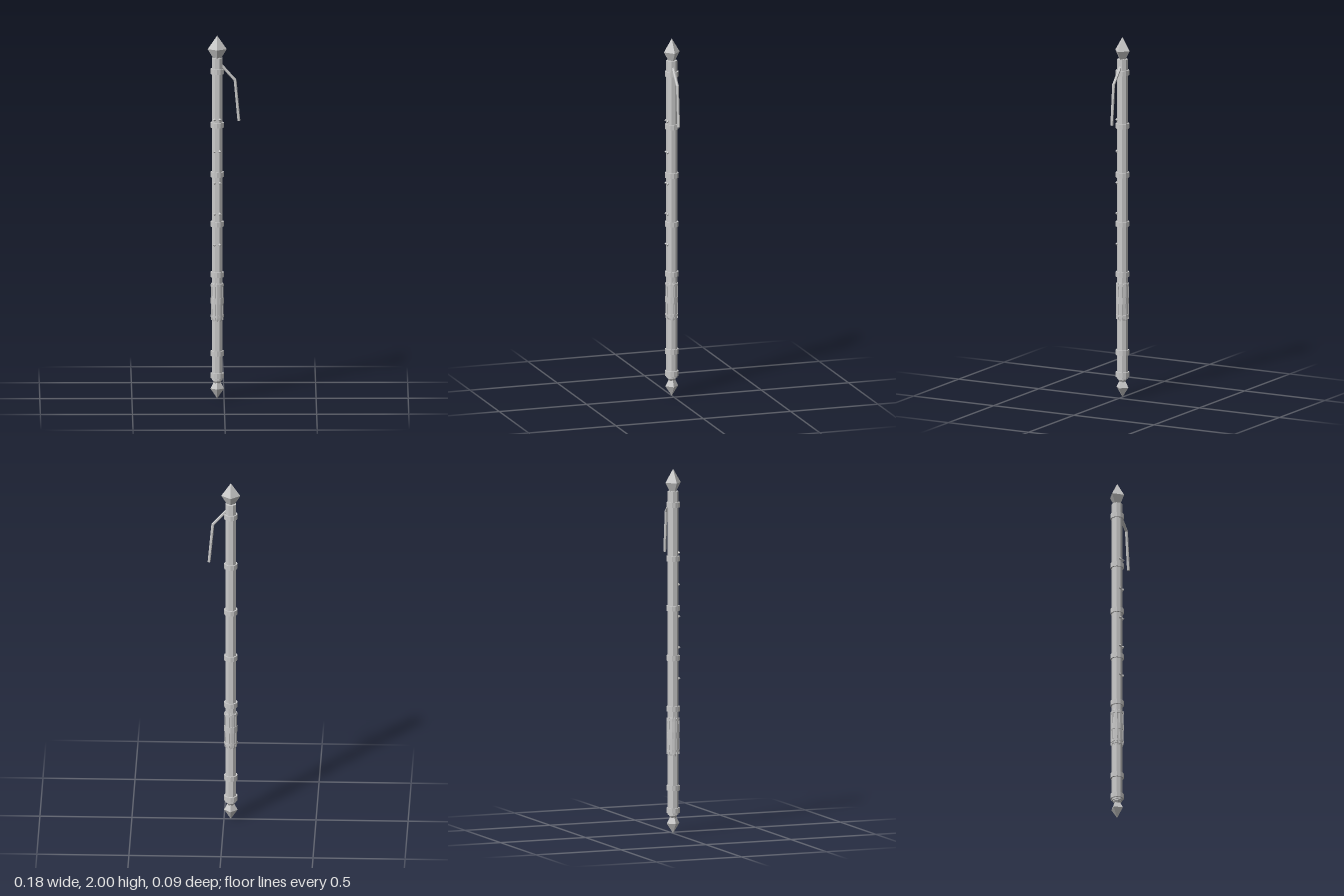
import * as THREE from 'three';

const AXIS_X = -0.037;

export function createModel() {
  const model = new THREE.Group();
  const staff = new THREE.Group();
  staff.name = 'staff';
  staff.position.x = AXIS_X;
  model.add(staff);

  const grey = new THREE.MeshStandardMaterial({ color: 0xcccccc, flatShading: true });

  const add = (name, geometry, x = 0, y = 0, z = 0) => {
    const mesh = new THREE.Mesh(geometry, grey);
    mesh.name = name;
    mesh.position.set(x, y, z);
    staff.add(mesh);
    return mesh;
  };

  // Faceted turned part from [radius, height] pairs
  const turned = (name, points, sides) =>
    add(name, new THREE.LatheGeometry(points.map(([r, y]) => new THREE.Vector2(r, y)), sides));

  // Octagonal shaft with a flat facing forward
  const shaft = new THREE.CylinderGeometry(0.03, 0.03, 1.775, 8);
  shaft.rotateY(Math.PI / 8);
  add('shaft', shaft, 0, 0.99, 0);

  // Raised bands along the shaft
  for (const y of [0.127, 0.25, 0.684, 0.963, 1.236, 1.508, 1.803]) {
    turned('band', [[0.026, y - 0.014], [0.037, y - 0.014], [0.037, y + 0.014], [0.026, y + 0.014]], 12);
  }

  // Four-sided pointed head, slightly narrower front to back
  const head = turned('headFinial', [[0, 1.87], [0.018, 1.87], [0.052, 1.925], [0, 2]], 4);
  head.scale.z = 0.045 / 0.052;
  turned('headNeck', [[0.02, 1.86], [0.016, 1.885]], 8);
  const gem = add('headGem', new THREE.OctahedronGeometry(0.01), 0, 1.935, 0.028);
  gem.scale.set(1.2, 2, 0.7);

  // Pointed foot and its neck
  turned('footFinial', [[0, 0], [0.037, 0.055], [0.016, 0.095], [0, 0.095]], 4);
  turned('footNeck', [[0.016, 0.085], [0.024, 0.098], [0.024, 0.118]], 8);

  // Swelling handle with slats and thin binding rings
  turned('grip', [[0.028, 0.425], [0.031, 0.44], [0.033, 0.53], [0.031, 0.625], [0.028, 0.645]], 12);
  for (let i = 0; i < 8; i++) {
    const a = (i + 0.5) * Math.PI / 4;
    const slat = add('gripSlat', new THREE.BoxGeometry(0.011, 0.2, 0.006),
      Math.sin(a) * 0.0315, 0.535, Math.cos(a) * 0.0315);
    slat.rotation.y = a;
  }
  for (const [y, h] of [[0.455, 0.012], [0.54, 0.034], [0.625, 0.012]]) {
    turned('gripRing', [[0.03, y - h / 2], [0.036, y - h / 2], [0.036, y + h / 2], [0.03, y + h / 2]], 12);
  }

  // Pairs of small studs on the front
  for (const y of [0.85, 1.02, 1.19, 1.365, 1.54]) {
    for (const side of [-1, 1]) {
      add('stud', new THREE.OctahedronGeometry(0.009), side * 0.014, y, 0.028);
    }
  }

  // Bent side lever made of two hexagonal rods with a shared elbow
  const rod = (name, from, to) => {
    const a = new THREE.Vector3(...from), b = new THREE.Vector3(...to);
    const mid = a.clone().add(b).multiplyScalar(0.5);
    const geometry = new THREE.CylinderGeometry(0.008, 0.008, a.distanceTo(b), 6);
    geometry.rotateY(Math.PI / 6);
    add(name, geometry, mid.x, mid.y, mid.z).quaternion.setFromUnitVectors(
      new THREE.Vector3(0, 1, 0), b.clone().sub(a).normalize());
  };
  rod('leverArm', [0.018, 1.842, 0], [0.099, 1.752, 0]);
  rod('leverTail', [0.097, 1.758, 0], [0.118, 1.53, 0]);

  return model;
}
